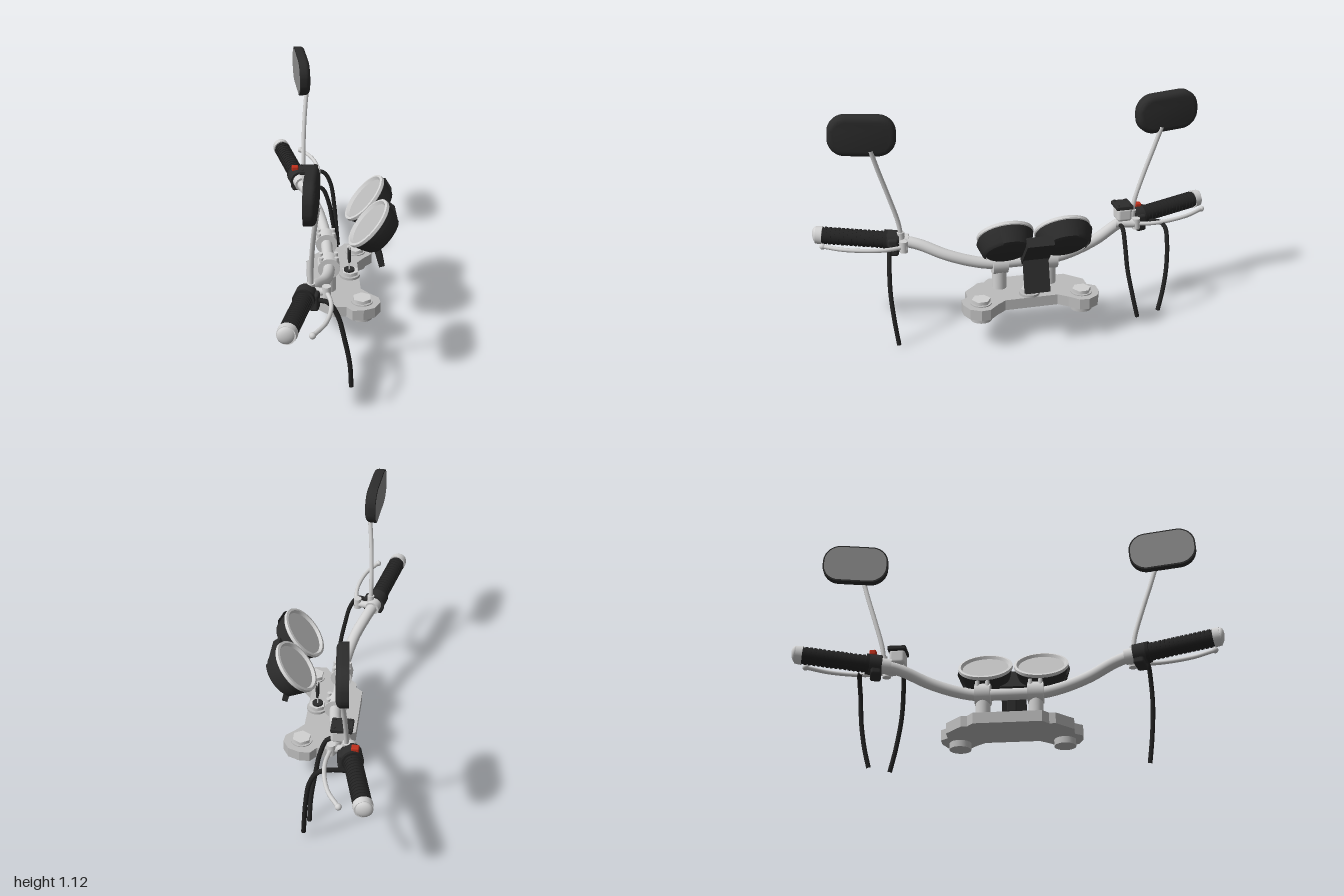
import * as THREE from 'three';
import { toCreasedNormals } from 'three/addons/utils/BufferGeometryUtils.js';
import { RoundedBoxGeometry } from 'three/addons/geometries/RoundedBoxGeometry.js';

const mat = (name, color, side = THREE.FrontSide) => {
  const m = new THREE.MeshStandardMaterial({ color, side });
  m.name = name;
  return m;
};
const V = (x, y, z) => new THREE.Vector3(x, y, z);

export function createModel() {
  const chrome = mat('brushed metal', 0xd2d2d2);
  const alloy = mat('cast alloy', 0xbdbdbd);
  const black = mat('black plastic', 0x2c2c2c, THREE.DoubleSide);
  const rubber = mat('rubber', 0x232323);
  const glass = mat('mirror glass', 0x8c8c8c);
  const dial = mat('gauge glass', 0xbababa);
  const red = mat('red switch', 0xc0301c);

  const root = new THREE.Group();
  root.name = 'handlebarAssembly';
  const add = (name, geo, m, p = [0, 0, 0], parent = root) => {
    const mesh = new THREE.Mesh(geo, m);
    mesh.name = name;
    mesh.position.set(...p);
    parent.add(mesh);
    return mesh;
  };
  // straight round bar between two points
  const rod = (name, a, b, r, m, r2 = r, sides = 24) => {
    const mesh = add(name, new THREE.CylinderGeometry(r2, r, a.distanceTo(b), sides), m);
    mesh.position.copy(a).lerp(b, 0.5);
    mesh.quaternion.setFromUnitVectors(V(0, 1, 0), b.clone().sub(a).normalize());
    return mesh;
  };
  const tube = (name, pts, r, m, seg = 32, sides = 12) =>
    add(name, new THREE.TubeGeometry(new THREE.CatmullRomCurve3(pts), seg, r, sides), m);
  const cyl = (name, r, h, m, p, sides = 28) =>
    add(name, new THREE.CylinderGeometry(r, r, h, sides), m, p);

  // top clamp plate, outlined on one half and mirrored
  const half = [[-0.135, 0.16], [-0.1, 0.19], [-0.1, 0.22], [-0.02, 0.3], [0.04, 0.3], [0.068, 0.337],
    [0.12, 0.337], [0.175, 0.315], [0.205, 0.265], [0.2, 0.22], [0.155, 0.175], [0.12, 0.13]];
  const outline = [...half, ...half.map(([x, z]) => [x, -z]).reverse()];
  const plate = new THREE.ExtrudeGeometry(
    new THREE.Shape(outline.map(([x, z]) => new THREE.Vector2(x, z))), { depth: 0.053, bevelEnabled: false });
  plate.rotateX(Math.PI / 2);
  add('topClamp', plate, alloy, [0, 0.225, 0]);

  // steering stem nut and key
  cyl('stemWasher', 0.05, 0.012, alloy, [0.075, 0.231, 0]);
  cyl('stemNut', 0.042, 0.022, chrome, [0.075, 0.244, 0], 6);
  cyl('ignitionLock', 0.026, 0.012, black, [0.072, 0.259, 0]);
  add('keyBlade', new THREE.BoxGeometry(0.006, 0.06, 0.016), chrome, [0.072, 0.285, 0]);
  add('keyHandle', new RoundedBoxGeometry(0.014, 0.066, 0.045, 2, 0.005), black, [0.072, 0.34, 0]);
  add('keyRing', new THREE.TorusGeometry(0.01, 0.003, 8, 16).rotateY(Math.PI / 2), chrome, [0.072, 0.378, 0]);

  // handlebar
  const side = [[-0.035, 0.353, 0.06], [-0.035, 0.355, 0.16], [-0.046, 0.374, 0.26], [-0.072, 0.41, 0.38],
    [-0.12, 0.456, 0.5], [-0.15, 0.472, 0.58], [-0.2, 0.489, 0.78], [-0.245, 0.503, 0.965]];
  tube('handlebar', [...side.map(([x, y, z]) => V(x, y, -z)).reverse(), ...side.map((p) => V(...p))],
    0.028, chrome, 96, 20);

  // mirror shell outline
  const w = 0.32, h = 0.195, r = 0.085;
  const mirrorShape = (d) => {
    const a = w / 2 - d, b = h / 2 - d, c = r - d, s = new THREE.Shape();
    s.absarc(a - c, b - c, c, 0, Math.PI / 2);
    s.absarc(-a + c, b - c, c, Math.PI / 2, Math.PI);
    s.absarc(-a + c, -b + c, c, Math.PI, Math.PI * 1.5);
    s.absarc(a - c, -b + c, c, Math.PI * 1.5, Math.PI * 2);
    return s;
  };
  const shell = new THREE.ExtrudeGeometry(mirrorShape(0), {
    depth: 0.03, bevelThickness: 0.024, bevelSize: 0.028, bevelOffset: -0.028, bevelSegments: 5, curveSegments: 10 });
  // flatten the glass side
  const sp = shell.attributes.position;
  for (let i = 0; i < sp.count; i++) if (sp.getZ(i) < 0) sp.setZ(i, 0);
  const shellGeo = toCreasedNormals(shell, 0.6);
  const glassGeo = new THREE.ShapeGeometry(mirrorShape(0.007), 10).rotateY(Math.PI);

  // gauge profiles
  const lathe = (pts, ...arc) => new THREE.LatheGeometry(pts.map((p) => new THREE.Vector2(...p)), ...arc);
  const cup = toCreasedNormals(lathe([[0, -0.102], [0.09, -0.102], [0.108, -0.094], [0.12, -0.06], [0.131, -0.016]], 40), 0.6);
  const rim = toCreasedNormals(lathe([[0.131, -0.018], [0.135, -0.014], [0.134, 0], [0.122, 0.002], [0.112, -0.014]], 40), 0.6);
  const tilt = 0.84;

  for (const s of [1, -1]) {
    const P = (x, y, z) => V(x, y, s * z);
    const side = s > 0 ? 'left' : 'right';
    const onBar = (z) => P(-0.15, 0.472, 0.58).lerp(P(-0.25, 0.505, 0.985), (z - 0.58) / 0.405);

    // fork tube caps
    cyl('forkTube', 0.052, 0.09, alloy, [0.118, 0.185, s * 0.25]);
    cyl('forkCap', 0.046, 0.022, chrome, [0.118, 0.236, s * 0.25], 6);

    // risers and bar clamps
    cyl('riser', 0.035, 0.12, chrome, [-0.035, 0.275, s * 0.125]);
    rod('barClamp', P(-0.035, 0.355, 0.088), P(-0.035, 0.355, 0.162), 0.053, chrome);
    for (const dx of [-0.036, 0.036]) for (const dz of [-0.024, 0.024]) {
      const q = P(-0.035 + dx, 0.372, 0.125 + dz);
      rod('clampBolt', q, V(q.x, 0.41, q.z), 0.01, chrome, 0.01, 10);
    }

    // grip with ribs and bar end
    rod('grip', onBar(0.65), onBar(0.96), 0.039, rubber);
    for (let i = 0; i < 14; i++) {
      const z = 0.67 + i * 0.02;
      rod('gripRib', onBar(z), onBar(z + 0.011), 0.0425, rubber);
    }
    rod('gripFlange', onBar(0.648), onBar(0.664), 0.05, rubber);
    rod('barEnd', onBar(0.952), onBar(0.983), 0.045, chrome, 0.042);
    add('barEndCap', new THREE.SphereGeometry(0.041, 24, 12).scale(1, 1, 0.5), chrome, onBar(0.98).toArray());

    // switch housing
    rod('switchHousing', onBar(0.592), onBar(0.65), 0.05, black);
    const box = add('switchBox', new RoundedBoxGeometry(0.1, 0.085, 0.052, 3, 0.012), black,
      onBar(0.62).add(V(0.012, -0.018, 0)).toArray());
    box.rotation.y = -s * 0.24;

    // lever perch and lever
    rod('leverClamp', onBar(0.55), onBar(0.592), 0.037, chrome);
    rod('leverPerch', P(-0.14, 0.475, 0.57), P(-0.05, 0.474, 0.585), 0.02, chrome, 0.016);
    rod('leverPivot', P(-0.065, 0.45, 0.585), P(-0.065, 0.505, 0.585), 0.02, chrome);
    tube('lever', [P(-0.065, 0.475, 0.58), P(-0.05, 0.475, 0.67), P(-0.055, 0.479, 0.76),
      P(-0.085, 0.484, 0.87), P(-0.138, 0.488, 0.96)], 0.01, chrome);
    add('leverBall', new THREE.SphereGeometry(0.015, 16, 12), chrome, P(-0.14, 0.488, 0.962).toArray());

    // mirror and stem
    rod('stemBase', P(-0.133, 0.47, 0.583), P(-0.133, 0.525, 0.588), 0.018, chrome);
    tube('mirrorStem', [P(-0.133, 0.5, 0.585), P(-0.133, 0.58, 0.598), P(-0.128, 0.72, 0.64),
      P(-0.118, 0.85, 0.682), P(-0.105, 0.96, 0.715)], 0.011, chrome);
    const mirror = new THREE.Group();
    mirror.name = side + 'Mirror';
    mirror.position.set(-0.159, 1.027, s * 0.747);
    mirror.rotation.set(0, Math.PI / 2 - s * 0.1, -s * 0.06);
    root.add(mirror);
    add('mirrorShell', shellGeo, black, [0, 0, 0], mirror);
    add('mirrorGlass', glassGeo, glass, [0, 0, -0.002], mirror);

    // gauge with outer bracket
    const gauge = new THREE.Group();
    gauge.name = side + 'Gauge';
    gauge.position.set(0.148, 0.588, s * 0.138);
    gauge.rotation.z = tilt;
    root.add(gauge);
    add('gaugeCup', cup, black, [0, 0, 0], gauge);
    add('gaugeRim', rim, chrome, [0, 0, 0], gauge);
    add('gaugeFace', new THREE.CircleGeometry(0.115, 40).rotateX(-Math.PI / 2), dial, [0, -0.012, 0], gauge);
    add('gaugeBracket', lathe([[0.108, -0.102], [0.122, -0.09], [0.14, -0.035]], 14,
      s > 0 ? -0.5 : Math.PI - 1.2, 1.7), black, [0, 0, 0], gauge);
  }

  // centre bridge and mounting strip of the gauges
  const bridge = add('gaugeBridge', new THREE.BoxGeometry(0.18, 0.05, 0.13), black, [0.218, 0.52, 0]);
  bridge.rotation.z = tilt;
  const strip = add('gaugeMount', new THREE.BoxGeometry(0.028, 0.19, 0.12), black, [0.203, 0.395, 0]);
  strip.rotation.z = 0.27;

  // brake fluid reservoir
  add('reservoir', new RoundedBoxGeometry(0.085, 0.07, 0.075, 3, 0.015), chrome, [-0.1, 0.528, -0.525]);
  add('reservoirLid', new RoundedBoxGeometry(0.1, 0.022, 0.088, 2, 0.006), black, [-0.108, 0.565, -0.525]);
  for (const dx of [-0.035, 0.035]) for (const dz of [-0.03, 0.03])
    cyl('lidScrew', 0.007, 0.006, black, [-0.108 + dx, 0.577, -0.525 + dz], 10);
  rod('masterCylinder', V(-0.095, 0.478, -0.49), V(-0.07, 0.478, -0.58), 0.024, chrome);

  // stop switch
  add('stopSwitch', new RoundedBoxGeometry(0.035, 0.026, 0.032, 2, 0.006), red, [-0.177, 0.528, -0.63]);

  // cables and hoses
  tube('clutchCable', [V(-0.12, 0.465, 0.63), V(-0.06, 0.462, 0.655), V(-0.02, 0.4, 0.664), V(0.01, 0.28, 0.668),
    V(0.035, 0.14, 0.658), V(0.043, 0.012, 0.642)], 0.011, rubber);
  tube('brakeHose', [V(-0.08, 0.475, -0.505), V(-0.04, 0.465, -0.508), V(-0.005, 0.38, -0.512), V(0.015, 0.27, -0.52),
    V(0.035, 0.13, -0.545), V(0.04, 0.01, -0.572)], 0.011, rubber);
  tube('throttleCable', [V(-0.14, 0.45, -0.69), V(-0.07, 0.468, -0.715), V(-0.02, 0.455, -0.725), V(0.015, 0.39, -0.724),
    V(0.035, 0.26, -0.718), V(0.045, 0.14, -0.7), V(0.053, 0.04, -0.676)], 0.011, rubber);

  return root;
}
